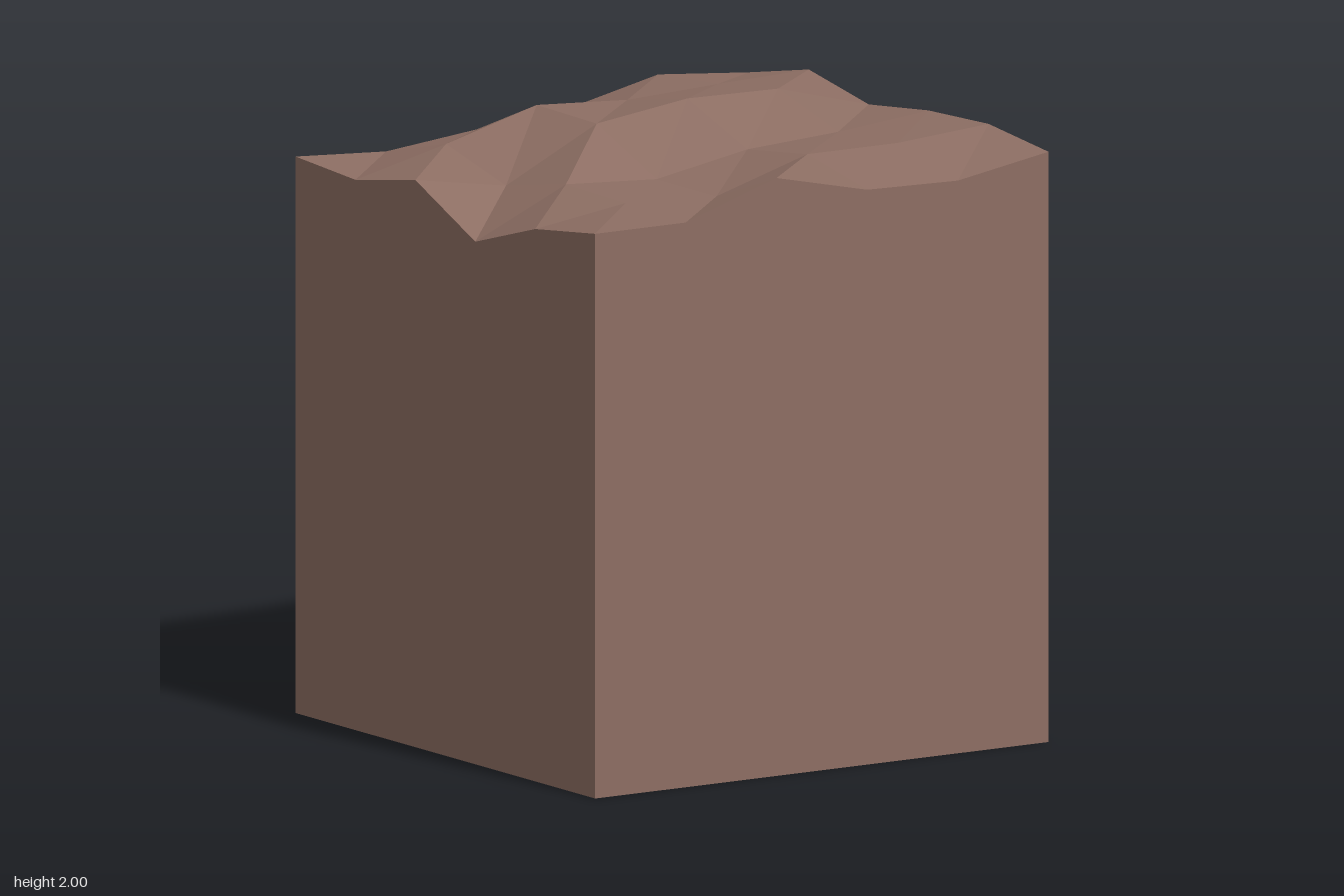
import * as THREE from 'three';

const HALF = 0.868;
const CELLS = 5;

// Ground heights: rows from back to front, columns from -x to +x
const HEIGHTS = [
  [1.81, 1.79, 1.825, 1.855, 1.93, 1.90],
  [1.79, 1.87, 1.96, 1.94, 1.955, 1.965],
  [1.845, 1.79, 1.955, 2.0, 1.995, 1.907],
  [1.70, 1.85, 1.83, 1.89, 1.91, 1.943],
  [1.797, 1.845, 1.83, 1.93, 1.93, 1.955],
  [1.837, 1.837, 1.945, 1.87, 1.863, 1.92],
];

// Uneven top surface: a grid lifted to the ground heights
function makeGround() {
  const geo = new THREE.PlaneGeometry(2 * HALF, 2 * HALF, CELLS, CELLS);
  geo.rotateX(-Math.PI / 2);
  HEIGHTS.flat().forEach((h, i) => geo.attributes.position.setY(i, h));
  const flat = geo.toNonIndexed();
  flat.computeVertexNormals();
  return flat;
}

// Flat wall whose top edge follows the ground, listed left to right from outside
function makeWall(edge, angle) {
  const shape = new THREE.Shape();
  shape.moveTo(-HALF, 0);
  shape.lineTo(HALF, 0);
  for (let i = CELLS; i >= 0; i--) {
    shape.lineTo(-HALF + (2 * HALF * i) / CELLS, edge[i]);
  }
  return new THREE.ShapeGeometry(shape).translate(0, 0, HALF).rotateY(angle);
}

export function createModel() {
  const group = new THREE.Group();
  group.name = 'terrainBlock';
  const soil = new THREE.MeshStandardMaterial({ color: 0x8d6e63, side: THREE.DoubleSide, flatShading: true });
  soil.name = 'soilBrown';

  const add = (name, geometry) => {
    const mesh = new THREE.Mesh(geometry, soil);
    mesh.name = name;
    group.add(mesh);
  };

  add('groundSurface', makeGround());

  // Four walls; the underside stays open
  const column = (c) => HEIGHTS.map((row) => row[c]);
  add('frontWall', makeWall(HEIGHTS[CELLS], 0));
  add('leftWall', makeWall(column(CELLS).reverse(), Math.PI / 2));
  add('backWall', makeWall([...HEIGHTS[0]].reverse(), Math.PI));
  add('rightWall', makeWall(column(0), -Math.PI / 2));

  return group;
}
